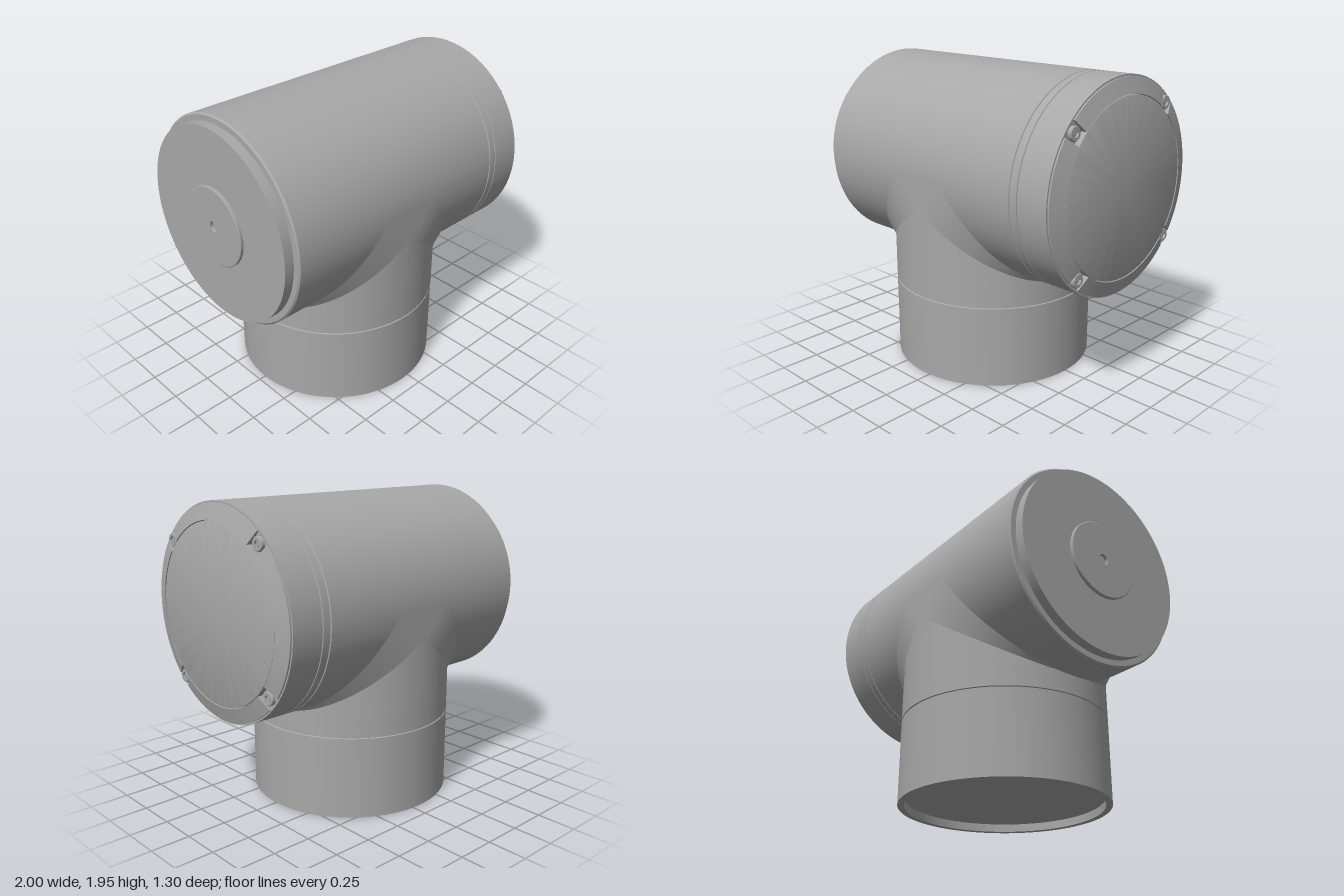
import * as THREE from 'three';
import { toCreasedNormals } from 'three/addons/utils/BufferGeometryUtils.js';

const R = 0.65, AXIS_Y = 1.3, BRANCH_X = -0.055, SEG = 96;

export function createModel() {
  const model = new THREE.Group();
  const grey = new THREE.MeshStandardMaterial({ color: 0xa8a8a8, side: THREE.DoubleSide });
  grey.name = 'grey plastic';

  const add = (name, geometry, parent = model) => {
    const mesh = new THREE.Mesh(geometry, grey);
    mesh.name = name;
    parent.add(mesh);
    return mesh;
  };
  // Profile is [radius, position along axis], in ascending order
  const turned = (profile, seg = SEG, start = 0, length = Math.PI * 2) =>
    toCreasedNormals(new THREE.LatheGeometry(
      profile.map(([r, h]) => new THREE.Vector2(r, h)), seg, start, length), 0.4);

  // Horizontal run: everything here is turned about y, then laid along x
  const run = new THREE.Group();
  run.name = 'horizontalRun';
  run.position.y = AXIS_Y;
  run.rotation.z = -Math.PI / 2;
  model.add(run);

  add('mainPipe', turned([
    [0, -0.98], [0.605, -0.98], [0.605, -0.92], [0.64, -0.92], [R, -0.91],
    [R, 0.69], [0.643, 0.693], [0.643, 0.697], [R, 0.70],
    [R, 0.748], [0.643, 0.75], [0.643, 0.753], [R, 0.755],
    [R, 0.96], [0, 0.96],
  ]), run);

  // Round plate with a centre hole on the closed end
  add('endPlate', turned([
    [0.035, -0.98], [0.035, -1], [0.245, -1], [0.25, -0.996], [0.25, -0.98],
  ]), run);

  // Inspection cover: flat disc and a sloping rim with four screw pockets
  add('coverDisc', turned([[0.54, 0.96], [0.54, 0.997], [0.535, 0.999], [0, 0.999]]), run);
  const rim = [[0.64, 0.96], [0.64, 0.97], [0.545, 1], [0.545, 0.96]];
  const wall = new THREE.Shape(rim.map(([r, h]) => new THREE.Vector2(r, h)));
  const halfGap = 0.085;
  for (let i = 0; i < 4; i++) {
    const phi = -0.714 + i * Math.PI / 2;
    const arc = Math.PI / 2 - 2 * halfGap;
    add('coverRim', turned(rim, 24, phi + halfGap, arc), run);
    for (const a of [phi + halfGap, phi - halfGap]) {
      add('pocketWall', new THREE.ShapeGeometry(wall), run).rotation.y = a - Math.PI / 2;
    }
    // Screw head with a recessed hex socket
    const screw = new THREE.Group();
    screw.name = 'coverScrew';
    screw.position.set(0.595 * Math.sin(phi), 0, 0.595 * Math.cos(phi));
    run.add(screw);
    add('screwHead', turned([[0.042, 0.95], [0.042, 0.98], [0.038, 0.984], [0.022, 0.984]], 24), screw);
    add('screwSocket', turned([[0.022, 0.984], [0.022, 0.972], [0, 0.972]], 6), screw);
  }

  // Vertical branch with an open, shallow socket underneath
  const branch = new THREE.Group();
  branch.name = 'verticalBranch';
  branch.position.x = BRANCH_X;
  model.add(branch);
  add('branchPipe', turned([
    [0, 0.05], [0.61, 0.05], [0.61, 0], [R, 0],
    [R, 0.52], [0.643, 0.523], [0.643, 0.527], [R, 0.53], [R, 0.65],
  ]), branch);

  // Upper branch wall, trimmed where it meets the run
  const N = 96, pos = [], idx = [];
  for (let i = 0; i <= N; i++) {
    const a = i / N * Math.PI * 2, x = R * Math.sin(a), z = R * Math.cos(a);
    pos.push(x, 0.64, z, x, AXIS_Y - Math.abs(x), z);
    if (i < N) idx.push(2 * i, 2 * i + 2, 2 * i + 1, 2 * i + 1, 2 * i + 2, 2 * i + 3);
  }
  add('branchSaddle', meshFrom(pos, idx), branch);

  // Blended gussets filling the groove between the two pipes, front and back
  for (const zs of [1, -1]) {
    for (const xs of [1, -1]) {
      const p = [], f = [], steps = 32;
      for (let i = 0; i <= steps; i++) {
        const t = i / steps;
        const ax = 0.65 - 0.45 * t, ay = 0.65 + 0.645 * t;
        const bx = 0.65 * (1 - t), by = 0.65 + 0.45 * t;
        const az = Math.sqrt(R * R - (ay - AXIS_Y) ** 2);
        const bz = Math.sqrt(R * R - bx * bx);
        p.push(xs * ax, ay, zs * (az + 0.001), xs * bx, by, zs * (bz + 0.001));
        if (i < steps) {
          const k = 2 * i;
          if (xs * zs > 0) f.push(k, k + 2, k + 1, k + 1, k + 2, k + 3);
          else f.push(k, k + 1, k + 2, k + 1, k + 3, k + 2);
        }
      }
      // Half of the flat triangle at the top of the gusset
      const b = 2 * steps;
      p.push(0, 1.295, zs * 0.651);
      f.push(...(xs * zs > 0 ? [b, b + 2, b + 1] : [b, b + 1, b + 2]));
      add('gusset', meshFrom(p, f), branch);
    }
  }
  return model;
}

// Indexed surface with smooth normals
function meshFrom(positions, indices) {
  const g = new THREE.BufferGeometry();
  g.setAttribute('position', new THREE.Float32BufferAttribute(positions, 3));
  g.setIndex(indices);
  g.computeVertexNormals();
  return g;
}
